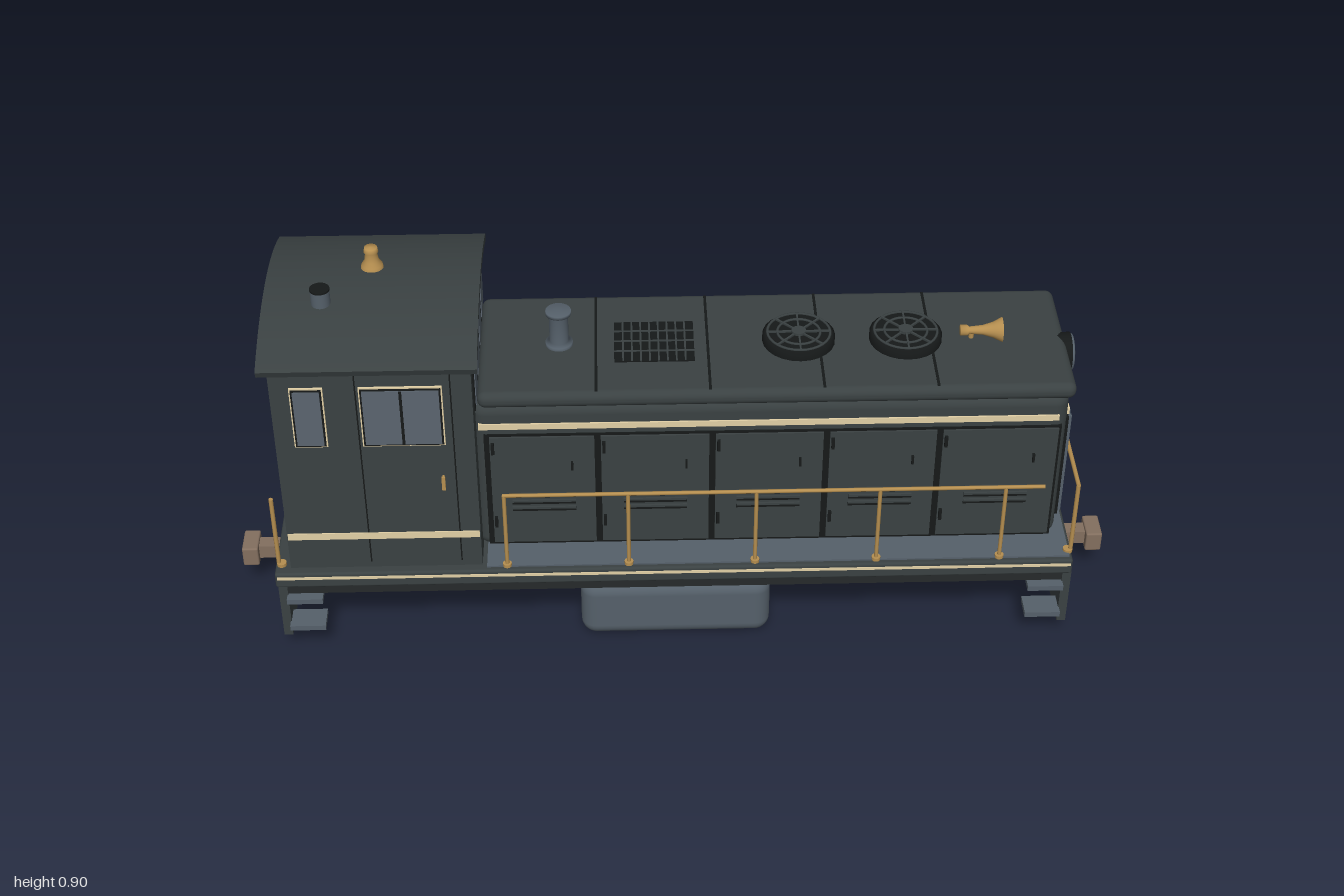
import * as THREE from 'three';
import { RoundedBoxGeometry } from 'three/addons/geometries/RoundedBoxGeometry.js';

const mat = (name, color, side = THREE.FrontSide) => {
  const m = new THREE.MeshStandardMaterial({ color, side });
  m.name = name;
  return m;
};

export function createModel() {
  const body = mat('bodyGreenGrey', 0x3a4142);
  const black = mat('black', 0x161919);
  const under = mat('frameCharcoal', 0x262a2b);
  const slate = mat('slate', 0x55606a);
  const glass = mat('glass', 0x5b656f);
  const brass = mat('brass', 0xb68f50, THREE.DoubleSide);
  const cream = mat('cream', 0xe2d0a6);
  const rust = mat('rust', 0x836f5f);

  const model = new THREE.Group();
  model.name = 'locomotive';

  const add = (name, geo, m, x = 0, y = 0, z = 0) => {
    const mesh = new THREE.Mesh(geo, m);
    mesh.name = name;
    mesh.position.set(x, y, z);
    model.add(mesh);
    return mesh;
  };
  // Boxes given by their limits on each axis
  const box = (name, m, x0, x1, y0, y1, z0, z1, r = 0) => add(name,
    r ? new RoundedBoxGeometry(x1 - x0, y1 - y0, z1 - z0, 4, r)
      : new THREE.BoxGeometry(x1 - x0, y1 - y0, z1 - z0),
    m, (x0 + x1) / 2, (y0 + y1) / 2, (z0 + z1) / 2);
  // Box on one side of the body, s = +1 or -1, reaching from d0 to d1 outward
  const sideBox = (name, m, s, x0, x1, y0, y1, d0, d1) =>
    box(name, m, x0, x1, y0, y1, Math.min(s * d0, s * d1), Math.max(s * d0, s * d1));
  const rod = (name, m, a, b, r, seg = 8) => {
    const from = new THREE.Vector3(...a), to = new THREE.Vector3(...b);
    const mesh = add(name, new THREE.CylinderGeometry(r, r, from.distanceTo(to), seg), m);
    mesh.position.copy(from).add(to).multiplyScalar(0.5);
    mesh.quaternion.setFromUnitVectors(new THREE.Vector3(0, 1, 0), to.sub(from).normalize());
    return mesh;
  };
  const lathe = (name, m, pts, x, y, z) =>
    add(name, new THREE.LatheGeometry(pts.map(p => new THREE.Vector2(...p)), 24), m, x, y, z);
  // Extrudes a cross-section (z, y) along x
  const alongX = (name, m, shape, x0, x1) => {
    const g = new THREE.ExtrudeGeometry(shape, { depth: x1 - x0, bevelEnabled: false, curveSegments: 24 });
    return add(name, g.rotateY(Math.PI / 2), m, x0);
  };

  // Side sills, deck and walkway
  box('deck', body, -0.89, 0.885, 0.205, 0.245, -0.257, 0.257, 0.006);
  box('walkway', slate, -0.42, 0.878, 0.244, 0.249, -0.245, 0.245);
  box('fuelTank', slate, -0.215, 0.215, 0, 0.157, -0.215, 0.215, 0.035);
  for (const s of [1, -1]) {
    sideBox('sideSill', under, s, -0.872, 0.872, 0.172, 0.207, 0.214, 0.238);
    sideBox('deckStripe', cream, s, -0.885, 0.88, 0.229, 0.236, 0.25, 0.2585);
  }

  // End plates, steps, couplers and end rail posts
  for (const e of [1, -1]) {
    const span = (a, b) => (e > 0 ? [a, b] : [-b, -a]);
    box('endPlate', body, ...span(0.868, 0.888), 0.05, 0.198, -0.24, 0.24);
    box('couplerShank', rust, ...span(0.88, 0.97), 0.088, 0.122, -0.017, 0.017);
    box('couplerHead', rust, ...span(0.963, 1), 0.08, 0.13, -0.035, 0.035, 0.004);
    for (const s of [1, -1]) {
      for (const y of [0.156, 0.077]) {
        const [x0, x1] = span(0.79, 0.87);
        sideBox('step', slate, s, x0, x1, y, y + 0.013, 0.2, 0.257);
      }
      rod('endRailPost', brass, [e * 0.882, 0.245, s * 0.225], [e * 0.882, 0.435, s * 0.225], 0.005);
      add('railFoot', new THREE.CylinderGeometry(0.011, 0.011, 0.008, 12), brass, e * 0.876, 0.25, s * 0.225);
    }
  }
  rod('frontRail', brass, [0.882, 0.435, -0.228], [0.882, 0.435, 0.228], 0.005);

  // Painted chevrons on the front end plate
  const chevrons = [
    [[0.087, 0.195], [0.025, 0.195], [0.213, 0.052], [0.215, 0.052], [0.215, 0.096]],
    [[0.028, 0.148], [0.028, 0.097], [0.087, 0.052], [0.153, 0.052]],
  ];
  for (const s of [1, -1]) for (const pts of chevrons)
    alongX('chevron', cream, new THREE.Shape(pts.map(([z, y]) => new THREE.Vector2(z * s, y))), 0.886, 0.89);

  // Hood body and cap
  box('hood', body, -0.44, 0.852, 0.25, 0.65, -0.184, 0.184, 0.03);
  box('hoodCap', body, -0.425, 0.863, 0.638, 0.677, -0.187, 0.187, 0.018);
  for (const x of [-0.17, 0.075, 0.32, 0.565])
    box('hoodSeam', black, x - 0.003, x + 0.003, 0.67, 0.678, -0.175, 0.175);
  box('noseStripe', cream, 0.848, 0.856, 0.585, 0.6, -0.163, 0.163);

  // Hood side doors with louvres, hinges and latches
  const doors = [[-0.403, -0.176], [-0.162, 0.073], [0.087, 0.321], [0.335, 0.567], [0.581, 0.832]];
  for (const s of [1, -1]) {
    sideBox('hoodStripe', cream, s, -0.425, 0.83, 0.586, 0.6, 0.18, 0.188);
    sideBox('doorGap', black, s, -0.415, 0.838, 0.264, 0.572, 0.18, 0.1865);
    for (const [x0, x1] of doors) {
      const c = (x0 + x1) / 2;
      sideBox('hoodDoor', body, s, x0, x1, 0.272, 0.566, 0.18, 0.191);
      for (let i = 0; i < 3; i++) {
        const y = 0.362 + i * 0.019;
        sideBox('louvreSlot', black, s, c - 0.07, c + 0.07, y, y + 0.008, 0.19, 0.1925);
        sideBox('louvreHood', body, s, c - 0.07, c + 0.07, y + 0.008, y + 0.013, 0.19, 0.196);
      }
      for (const y of [0.32, 0.525]) sideBox('hinge', black, s, x0 + 0.003, x0 + 0.01, y, y + 0.028, 0.19, 0.198);
      sideBox('latch', black, s, x1 - 0.052, x1 - 0.047, 0.478, 0.5, 0.19, 0.197);
    }
  }

  // Radiator grille
  box('grilleBack', black, 0.848, 0.856, 0.305, 0.577, -0.165, 0.165);
  for (let i = 0; i < 17; i++) {
    const z = -0.152 + i * 0.019;
    box('grilleBar', slate, 0.855, 0.864, 0.308, 0.574, z - 0.004, z + 0.004);
  }

  // Headlight
  rod('headlightCase', black, [0.84, 0.633, 0], [0.877, 0.633, 0], 0.044, 32);
  const rim = add('headlightRim', new THREE.TorusGeometry(0.0375, 0.004, 8, 32), slate, 0.879, 0.633, 0);
  rim.rotation.y = Math.PI / 2;
  rod('headlightLens', cream, [0.87, 0.633, 0], [0.88, 0.633, 0], 0.035, 32);

  // Exhaust stack and mesh vent
  lathe('exhaustStack', slate, [[0.03, 0], [0.03, 0.008], [0.021, 0.012], [0.021, 0.08], [0.028, 0.082],
    [0.028, 0.09], [0, 0.09]], -0.25, 0.676, 0);
  box('roofVent', black, -0.13, 0.045, 0.67, 0.68, -0.073, 0.073);
  for (let i = 1; i < 9; i++) {
    const x = -0.13 + i * 0.0194;
    box('ventSlat', body, x - 0.002, x + 0.002, 0.675, 0.682, -0.073, 0.073);
  }
  for (const z of [-0.037, 0, 0.037]) box('ventRib', body, -0.13, 0.045, 0.675, 0.682, z - 0.002, z + 0.002);

  // Roof fans
  for (const x of [0.275, 0.51]) {
    lathe('fanHousing', black, [[0.08, 0], [0.08, 0.018], [0.073, 0.024], [0, 0.024]], x, 0.674, 0);
    for (const r of [0.069, 0.047]) {
      const ring = add('fanRing', new THREE.TorusGeometry(r, 0.003, 6, 32), body, x, 0.699, 0);
      ring.rotation.x = Math.PI / 2;
    }
    for (let i = 0; i < 4; i++) {
      const bar = add('fanGuard', new THREE.BoxGeometry(0.138, 0.004, 0.004), body, x, 0.7, 0);
      bar.rotation.y = i * Math.PI / 4;
    }
    add('fanHub', new THREE.CylinderGeometry(0.016, 0.016, 0.008, 16), body, x, 0.7, 0);
  }

  // Horn
  const horn = lathe('horn', brass, [[0, 0], [0.012, 0], [0.012, 0.015], [0.008, 0.02], [0.011, 0.05],
    [0.018, 0.073], [0.028, 0.092], [0.022, 0.092], [0.01, 0.07]], 0.63, 0.696, 0);
  horn.rotation.z = -Math.PI / 2;
  rod('hornMouth', black, [0.715, 0.696, 0], [0.719, 0.696, 0], 0.022, 24);
  rod('hornPost', brass, [0.655, 0.67, 0], [0.655, 0.695, 0], 0.006);

  // Cab with arched top
  const arc = (shape, r, half, ccw) => {
    const a = Math.acos(half / r);
    shape.absarc(0, 0.175, r, ccw ? a : Math.PI - a, ccw ? Math.PI - a : a, !ccw);
  };
  const cab = new THREE.Shape();
  cab.moveTo(-0.235, 0.245);
  cab.lineTo(0.235, 0.245);
  arc(cab, 0.662, 0.235, true);
  alongX('cab', body, cab, -0.855, -0.43);
  const roof = new THREE.Shape();
  arc(roof, 0.675, 0.257, true);
  arc(roof, 0.658, 0.251, false);
  alongX('cabRoof', body, roof, -0.875, -0.415);

  // Front cab windows
  for (const s of [1, -1]) for (const [z0, z1, y0, y1] of [[0.126, 0.197, 0.662, 0.789], [0.018, 0.089, 0.662, 0.803]]) {
    sideBox('windowFrame', black, s, -0.435, -0.426, y0 - 0.009, y1 + 0.009, z0 - 0.009, z1 + 0.009);
    sideBox('frontWindow', glass, s, -0.43, -0.424, y0, y1, z0, z1);
  }

  // Cab sides: windows, door, handle and stripe
  for (const s of [1, -1]) {
    for (const [x0, x1] of [[-0.81, -0.745], [-0.665, -0.495]]) {
      sideBox('windowTrim', cream, s, x0 - 0.003, x1 + 0.003, 0.588, 0.743, 0.232, 0.24);
      sideBox('windowFrame', black, s, x0, x1, 0.591, 0.74, 0.234, 0.242);
      sideBox('sideWindow', glass, s, x0 + 0.004, x1 - 0.004, 0.595, 0.736, 0.236, 0.244);
    }
    sideBox('windowBar', black, s, -0.583, -0.577, 0.595, 0.736, 0.24, 0.246);
    for (const x of [-0.675, -0.475]) sideBox('doorSeam', black, s, x - 0.0015, x + 0.0015, 0.26, 0.775, 0.233, 0.236);
    sideBox('doorHandle', brass, s, -0.506, -0.498, 0.472, 0.506, 0.244, 0.25);
    for (const y of [0.476, 0.498]) sideBox('handleStem', brass, s, -0.504, -0.5, y, y + 0.004, 0.234, 0.246);
    sideBox('cabStripe', cream, s, -0.853, -0.432, 0.327, 0.344, 0.232, 0.2375);
  }

  // Cab roof fittings
  lathe('cabVent', slate, [[0.021, 0], [0.021, 0.042]], -0.75, 0.838, 0.072);
  add('cabVentCap', new THREE.CylinderGeometry(0.0215, 0.0215, 0.004, 24), black, -0.75, 0.881, 0.072);
  lathe('bell', brass, [[0.025, 0], [0.023, 0.01], [0.016, 0.02], [0.013, 0.038], [0.016, 0.042],
    [0.014, 0.053], [0, 0.054]], -0.65, 0.846, -0.058);

  // Side handrails
  for (const s of [1, -1]) {
    rod('handrail', brass, [-0.378, 0.446, s * 0.241], [0.805, 0.446, s * 0.241], 0.0045);
    for (const x of [-0.375, -0.105, 0.175, 0.445, 0.72]) {
      rod('handrailPost', brass, [x, 0.245, s * 0.241], [x, 0.446, s * 0.241], 0.0045);
      add('railFoot', new THREE.CylinderGeometry(0.01, 0.01, 0.008, 12), brass, x, 0.25, s * 0.241);
    }
  }
  return model;
}
